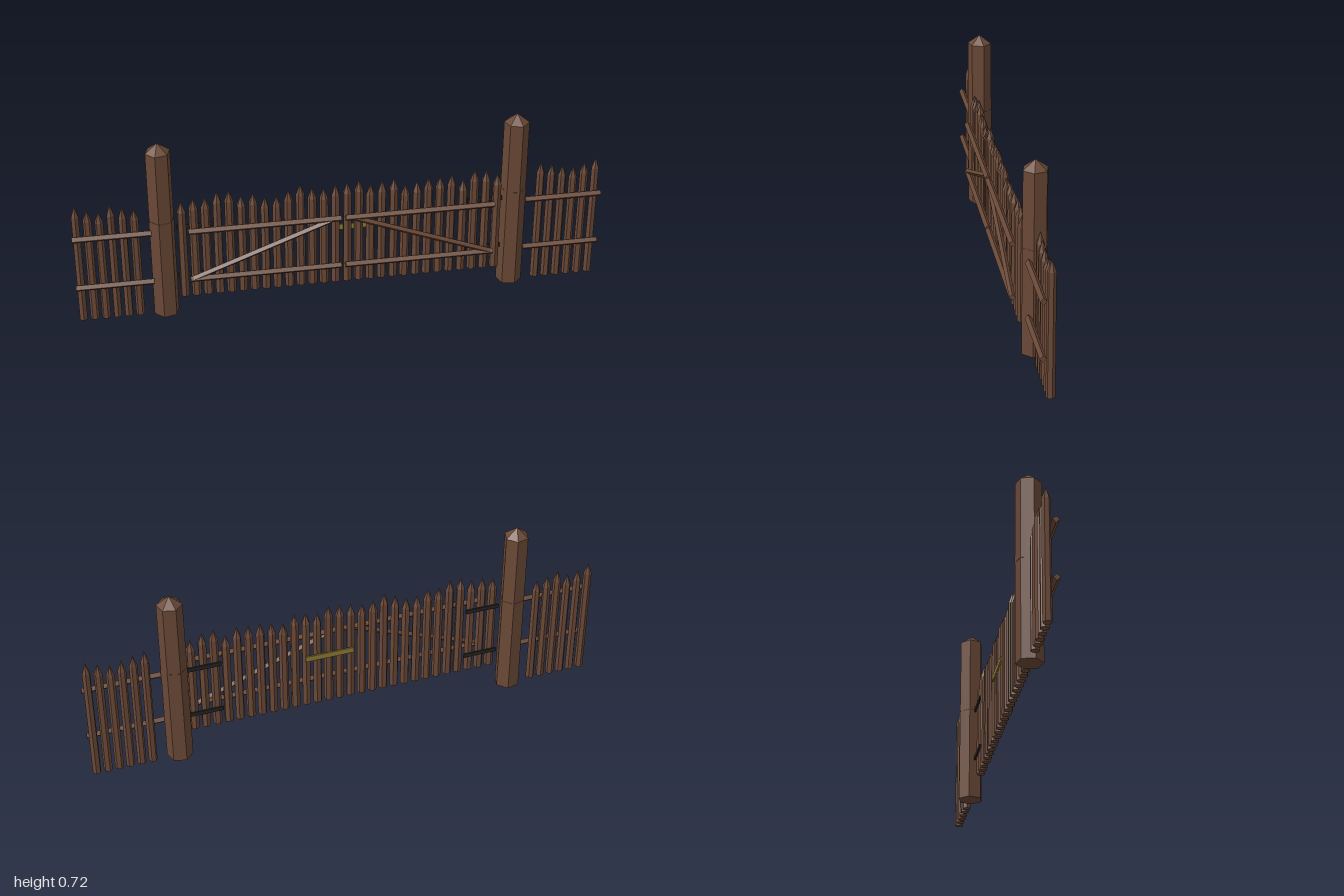
import * as THREE from 'three';

const material = (name, color) => {
  const m = new THREE.MeshStandardMaterial({ color });
  m.name = name;
  return m;
};

export function createModel() {
  const wood = material('brown wood', 0x6a4836);
  const iron = material('black iron', 0x242424);
  const brass = material('aged brass', 0x8f7c35);
  const model = new THREE.Group();

  let seed = 11;
  const random = () => (seed = (seed * 16807) % 2147483647) / 2147483647;

  function add(parent, name, geometry, mat, x, y, z) {
    const flat = geometry.index ? geometry.toNonIndexed() : geometry;
    flat.computeVertexNormals();
    const mesh = new THREE.Mesh(flat, mat);
    mesh.name = name;
    mesh.position.set(x, y, z);
    parent.add(mesh);
    return mesh;
  }

  // Six-sided pointed stake
  function stake(parent, name, x, z, bottom, top, r0, r1, tip, turn) {
    const profile = [[0, 0], [r0, 0], [r1, top - bottom - tip], [0, top - bottom]]
      .map(([a, b]) => new THREE.Vector2(a, b));
    add(parent, name, new THREE.LatheGeometry(profile, 6), wood, x, bottom, z).rotation.y = turn;
  }

  // Four-sided bar set on its edge, between two points in the xy plane
  function bar(parent, name, x0, y0, x1, y1, z, r = 0.0125) {
    const length = Math.hypot(x1 - x0, y1 - y0);
    const geometry = new THREE.CylinderGeometry(r, r, length, 4);
    const mesh = add(parent, name, geometry, wood, (x0 + x1) / 2, (y0 + y1) / 2, z);
    mesh.rotation.z = Math.atan2(y1 - y0, x1 - x0) - Math.PI / 2;
  }

  function group(name) {
    const g = new THREE.Group();
    g.name = name;
    model.add(g);
    return g;
  }

  // Gate posts with a shallow band
  for (const [name, x, turn] of [['leftPost', 0.663, 0.28], ['rightPost', -0.668, -0.28]]) {
    stake(model, name, x, -0.013, 0, 0.72, 0.049, 0.047, 0.035, turn);
    const band = new THREE.CylinderGeometry(0.0488, 0.0488, 0.03, 6);
    add(model, name + 'Band', band, wood, x, 0.39, -0.013).rotation.y = turn;
  }

  // Fixed fence sections beside the posts
  const fences = [
    ['rightFence', -0.981, -1, -0.71, [0.49, 0.47, 0.46, 0.485, 0.47, 0.46]],
    ['leftFence', 0.767, 0.705, 1, [0.505, 0.495, 0.485, 0.475, 0.49, 0.505]],
  ];
  for (const [name, start, x0, x1, tops] of fences) {
    const fence = group(name);
    tops.forEach((top, i) => stake(fence, 'picket', start + i * 0.0427, -0.013,
      0, top, 0.0165, 0.0155, 0.045, random() * 1.05));
    for (const y of [0.363, 0.154]) bar(fence, 'rail', x0, y, x1, y, 0.016);
  }

  // Two gate leaves: pickets, rails, brace and hinges
  const leaves = [
    ['rightGate', -1, -0.597, [0.49, 0.5, 0.5, 0.52, 0.52, 0.495, 0.5, 0.48, 0.48, 0.5, 0.52, 0.5, 0.495, 0.505]],
    ['leftGate', 1, 0.019, [0.51, 0.515, 0.495, 0.505, 0.51, 0.48, 0.49, 0.5, 0.5, 0.505, 0.48, 0.515, 0.51, 0.49]],
  ];
  for (const [name, side, start, tops] of leaves) {
    const gate = group(name);
    tops.forEach((top, i) => stake(gate, 'gatePicket', start + i * 0.044, 0.018,
      0.085, top, 0.0175, 0.0165, 0.045, random() * 1.05));
    for (const y of [0.375, 0.17]) bar(gate, 'gateRail', side * 0.008, y, side * 0.577, y, 0.05);
    bar(gate, 'brace', side * 0.565, 0.172, side * 0.045, 0.37, 0.05, 0.011);
    for (const y of [0.37, 0.162]) {
      add(gate, 'hinge', new THREE.BoxGeometry(0.135, 0.016, 0.006), iron, side * 0.55, y, -0.002);
    }
  }

  // Latch bar across the back of the gate
  add(model, 'latch', new THREE.BoxGeometry(0.19, 0.022, 0.006), brass, 0.065, 0.307, -0.003);
  return model;
}
